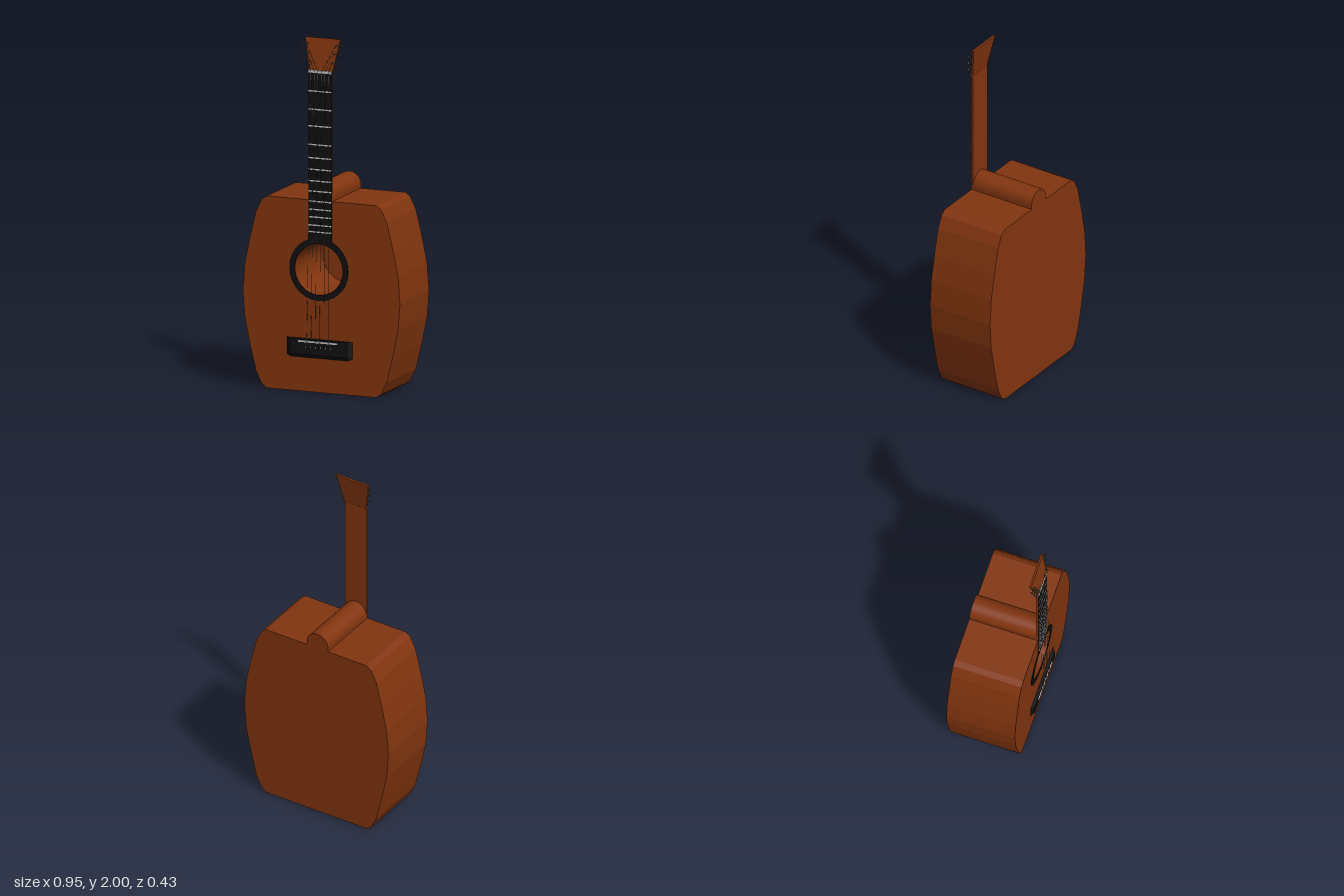
import * as THREE from 'three';

const wood = new THREE.MeshStandardMaterial({ color: 0x82350f });
const black = new THREE.MeshStandardMaterial({ color: 0x101010 });
const metal = new THREE.MeshStandardMaterial({ color: 0xcccccc });
const steel = new THREE.MeshStandardMaterial({ color: 0x555555 });

const BACK = -0.213, FRONT = 0.187;   // faces of the body
const NECK_X = -0.007, NECK_W = 0.14;
const HOLE = { x: -0.015, y: 0.695, r: 0.144 };

export function createModel() {
  const model = new THREE.Group();
  model.name = 'guitar';

  function add(name, geometry, material, x = 0, y = 0, z = 0, parent = model) {
    const mesh = new THREE.Mesh(geometry, material);
    mesh.name = name;
    mesh.position.set(x, y, z);
    parent.add(mesh);
    return mesh;
  }
  const box = (w, h, d) => new THREE.BoxGeometry(w, h, d);
  const extrude = (shape, depth) =>
    new THREE.ExtrudeGeometry(shape, { depth, bevelEnabled: false, curveSegments: 24 });
  const circle = r => new THREE.Path().absarc(HOLE.x, HOLE.y, r, 0, Math.PI * 2, true);

  // Thin rod between two points
  function rod(name, a, b, radius, material, parent = model, sides = 6) {
    const dir = b.clone().sub(a);
    const mesh = add(name, new THREE.CylinderGeometry(radius, radius, dir.length(), sides), material, 0, 0, 0, parent);
    mesh.position.copy(a).lerp(b, 0.5);
    mesh.quaternion.setFromUnitVectors(new THREE.Vector3(0, 1, 0), dir.normalize());
    return mesh;
  }

  // Barrel outline of the body, with the round heel rising from its top edge
  function bodyShape() {
    const half = [[0.33, 0], [0.36, 0.02], [0.395, 0.09], [0.432, 0.24], [0.463, 0.39], [0.475, 0.542]];
    const right = [...half, ...half.slice(0, -1).reverse().map(([x, y]) => [x, 1.085 - y])];
    const s = new THREE.Shape();
    s.moveTo(...right[0]);
    right.slice(1).forEach(p => s.lineTo(...p));
    s.lineTo(NECK_X + 0.07, 1.085);
    s.absarc(NECK_X, 1.107, 0.07, 0, Math.PI, false);
    s.lineTo(NECK_X - 0.07, 1.085);
    right.reverse().forEach(([x, y]) => s.lineTo(-x, y));
    return s;
  }
  const holed = bodyShape();
  holed.holes.push(circle(HOLE.r));
  add('body', extrude(holed, FRONT - BACK - 0.02), wood, 0, 0, BACK + 0.02);
  add('bodyBack', extrude(bodyShape(), 0.02), wood, 0, 0, BACK);

  // Rosette around the sound hole
  const ring = new THREE.Shape().absarc(HOLE.x, HOLE.y, 0.178, 0, Math.PI * 2, false);
  ring.holes.push(circle(HOLE.r));
  add('rosette', extrude(ring, 0.004), black, 0, 0, FRONT);

  // Neck, fretboard, frets and nut
  add('neck', box(NECK_W, 0.72, 0.01), wood, NECK_X, 1.455, 0.182);
  add('fretboard', box(NECK_W, 0.955, 0.005), black, NECK_X, 1.3375, 0.1895);
  const frets = [1.703, 1.6, 1.505, 1.4, 1.325, 1.26, 1.195, 1.137, 1.08, 1.034, 0.991, 0.945, 0.907];
  for (const y of frets) add('fret', box(NECK_W, 0.007, 0.004), metal, NECK_X, y, 0.193);
  add('nut', box(NECK_W, 0.014, 0.009), metal, NECK_X, 1.813, 0.191);

  // Headstock, tilted backwards, flaring towards the top
  const head = new THREE.Group();
  head.name = 'headstock';
  head.position.set(-0.004, 1.812, 0.178);
  head.rotation.x = -0.17;
  model.add(head);
  const plate = new THREE.Shape([[-0.07, 0], [0.07, 0], [0.106, 0.188], [-0.106, 0.188]]
    .map(([x, y]) => new THREE.Vector2(x, y)));
  add('headPlate', extrude(plate, 0.012), wood, 0, 0, 0, head);

  // Tuners: a post on the face, a shaft out to the side and a knob
  const posts = [];
  for (const side of [-1, 1]) {
    for (const y of [0.053, 0.103, 0.152]) {
      const x = side * (0.06 + y * 0.19);
      const edge = side * (0.075 + y * 0.19);
      const post = add('tunerPost', new THREE.CylinderGeometry(0.004, 0.004, 0.022, 8), steel, x, y, 0.021, head);
      post.rotation.x = Math.PI / 2;
      rod('tunerShaft', new THREE.Vector3(x, y, 0.016), new THREE.Vector3(edge + side * 0.018, y, 0.016), 0.0025, steel, head);
      const knob = add('tunerKnob', new THREE.SphereGeometry(0.008, 8, 6), steel, edge + side * 0.018, y, 0.016, head);
      knob.scale.set(0.6, 1.2, 0.9);
      head.updateMatrix();
      posts.push(new THREE.Vector3(x, y, 0.028).applyMatrix4(head.matrix));
    }
  }

  // Bridge: front face drawn in from the sides and the lower edge
  const bx = -0.01;
  const bridgeShape = new THREE.Shape([[-0.198, 0.3], [-0.198, 0.205], [-0.178, 0.192], [0.178, 0.192], [0.198, 0.205], [0.198, 0.3]]
    .map(([x, y]) => new THREE.Vector2(x, y)));
  const bridge = extrude(bridgeShape, 0.019).toNonIndexed ? extrude(bridgeShape, 0.019) : null;
  const p = bridge.attributes.position;
  for (let i = 0; i < p.count; i++) {
    if (p.getZ(i) > 0.01) {
      p.setX(i, p.getX(i) * 0.87);
      p.setY(i, Math.max(p.getY(i), 0.212));
    }
  }
  bridge.computeVertexNormals();
  add('bridge', bridge, black, bx, 0, FRONT);
  add('saddle', box(0.236, 0.009, 0.008), metal, -0.012, 0.287, 0.209);

  // Strings run from bridge pin over saddle and nut to the tuner posts
  const order = [posts[0], posts[1], posts[2], posts[5], posts[4], posts[3]];
  for (let i = 0; i < 6; i++) {
    const t = i - 2.5;
    const pin = new THREE.Vector3(-0.012 + t * 0.03, 0.255, 0.206);
    const saddle = new THREE.Vector3(-0.012 + t * 0.026, 0.287, 0.213);
    const nut = new THREE.Vector3(NECK_X + t * 0.021, 1.813, 0.197);
    const route = [pin, saddle, nut, order[i]];
    for (let k = 0; k < 3; k++) rod('string', route[k], route[k + 1], 0.0009, steel, model, 5);
    add('bridgePin', new THREE.SphereGeometry(0.004, 8, 6), metal, pin.x, pin.y, pin.z);
  }
  return model;
}
